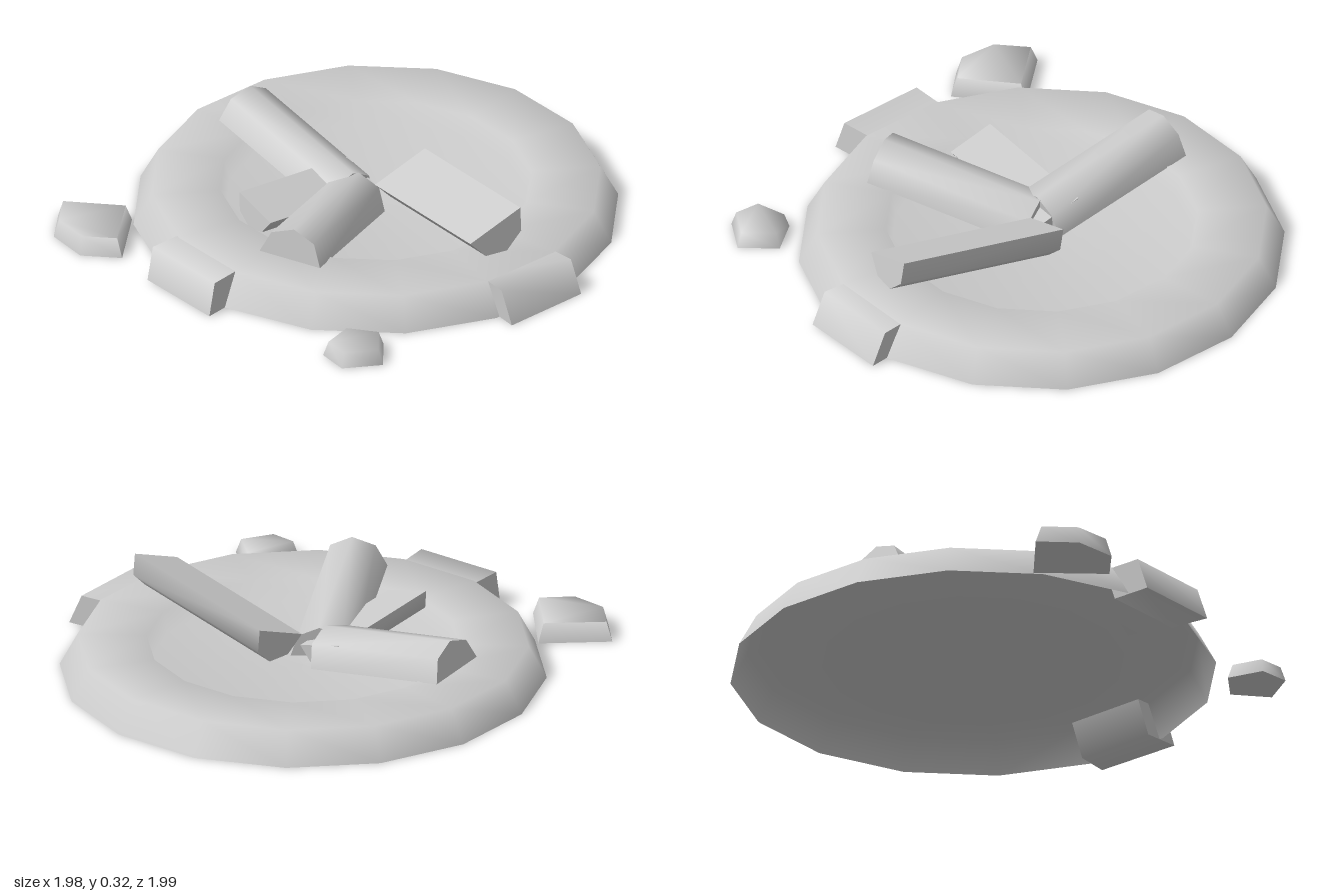
import * as THREE from 'three';
import { toCreasedNormals } from 'three/addons/utils/BufferGeometryUtils.js';

const material = new THREE.MeshStandardMaterial({ color: 0xcccccc, side: THREE.DoubleSide });

function addMesh(group, name, geometry) {
  const mesh = new THREE.Mesh(geometry, material);
  mesh.name = name;
  group.add(mesh);
  return mesh;
}

// Split log: a half-round section swept from the inner to the outer end.
// Ends are midpoints of the flat face; chord runs across that face.
function addLog(group, name, inner, outer, chord, radius, flatUp) {
  const start = new THREE.Vector3(...inner);
  const w = new THREE.Vector3(...outer).sub(start);
  const length = w.length();
  w.normalize();
  const u = new THREE.Vector3(...chord);
  u.addScaledVector(w, -u.dot(w)).normalize();
  let v = w.clone().cross(u);
  if ((v.y < 0) !== flatUp) {
    u.negate();
    v = w.clone().cross(u);
  }
  const points = [];
  for (let i = 0; i <= 4; i++) {
    const a = (i / 4) * Math.PI;
    points.push(new THREE.Vector2(Math.cos(a) * radius, Math.sin(a) * radius));
  }
  const geometry = new THREE.ExtrudeGeometry(new THREE.Shape(points), { depth: length, bevelEnabled: false });
  const mesh = addMesh(group, name, toCreasedNormals(geometry, 0.9));
  mesh.quaternion.setFromRotationMatrix(new THREE.Matrix4().makeBasis(u, v, w));
  mesh.position.copy(start);
}

// Stone: a plan outline raised to a height, its top shrunk and shifted.
function addStone(group, name, outline, height, topScale, shiftX = 0, shiftZ = 0) {
  const shape = new THREE.Shape(outline.map(([x, z]) => new THREE.Vector2(x, -z)));
  const geometry = new THREE.ExtrudeGeometry(shape, { depth: height, bevelEnabled: false });
  geometry.rotateX(-Math.PI / 2);
  const cx = outline.reduce((s, p) => s + p[0], 0) / outline.length;
  const cz = outline.reduce((s, p) => s + p[1], 0) / outline.length;
  const pos = geometry.attributes.position;
  for (let i = 0; i < pos.count; i++) {
    if (pos.getY(i) < height / 2) continue;
    pos.setX(i, cx + (pos.getX(i) - cx) * topScale + shiftX);
    pos.setZ(i, cz + (pos.getZ(i) - cz) * topScale + shiftZ);
  }
  addMesh(group, name, toCreasedNormals(geometry, 1.4));
}

export function createModel() {
  const group = new THREE.Group();
  group.name = 'firePit';

  // Sixteen-sided raised rim with a sunken hearth
  const profile = [[0.95, 0], [0.88, 0.13], [0.61, 0.13], [0.59, 0.045], [0, 0.03]]
    .map(([r, y]) => new THREE.Vector2(r, y)).reverse();
  const pit = addMesh(group, 'pitRing', new THREE.LatheGeometry(profile.reverse(), 16));
  pit.position.set(-0.04, 0, -0.05);

  // Split logs leaning in to the middle
  addLog(group, 'rightLog', [-0.12, 0.05, 0.03], [-0.735, 0.157, -0.105], [-0.05, 0.03, 0.25], 0.128, false);
  addLog(group, 'frontLog', [-0.09, 0.045, 0.02], [0.085, 0.15, 0.655], [0.25, -0.02, -0.07], 0.128, false);
  addLog(group, 'leftLog', [0.02, 0.18, -0.125], [0.69, 0.277, 0.13], [-0.08, -0.085, 0.21], 0.125, true);
  addLog(group, 'smallLog', [-0.12, 0.13, -0.07], [-0.235, 0.178, 0.465], [0.19, -0.05, 0.055], 0.1, true);

  // Stones set into the rim
  addStone(group, 'frontRimStone', [[-0.41, 0.92], [-0.05, 0.99], [-0.04, 0.83], [-0.38, 0.76]], 0.129, 1, -0.005, -0.04);
  addStone(group, 'leftRimStone', [[0.85, -0.05], [0.985, -0.035], [0.92, 0.32], [0.78, 0.28]], 0.129, 1, -0.06, -0.012);

  // Loose stones on the ground
  addStone(group, 'largeLooseStone', [[-0.99, 0.74], [-0.74, 0.595], [-0.59, 0.85], [-0.73, 0.935], [-0.9, 0.885]], 0.075, 0.85);
  addStone(group, 'smallLooseStone', [[0.47, 0.8], [0.61, 0.735], [0.71, 0.865], [0.6, 0.985], [0.48, 0.95]], 0.06, 0.83);

  return group;
}
